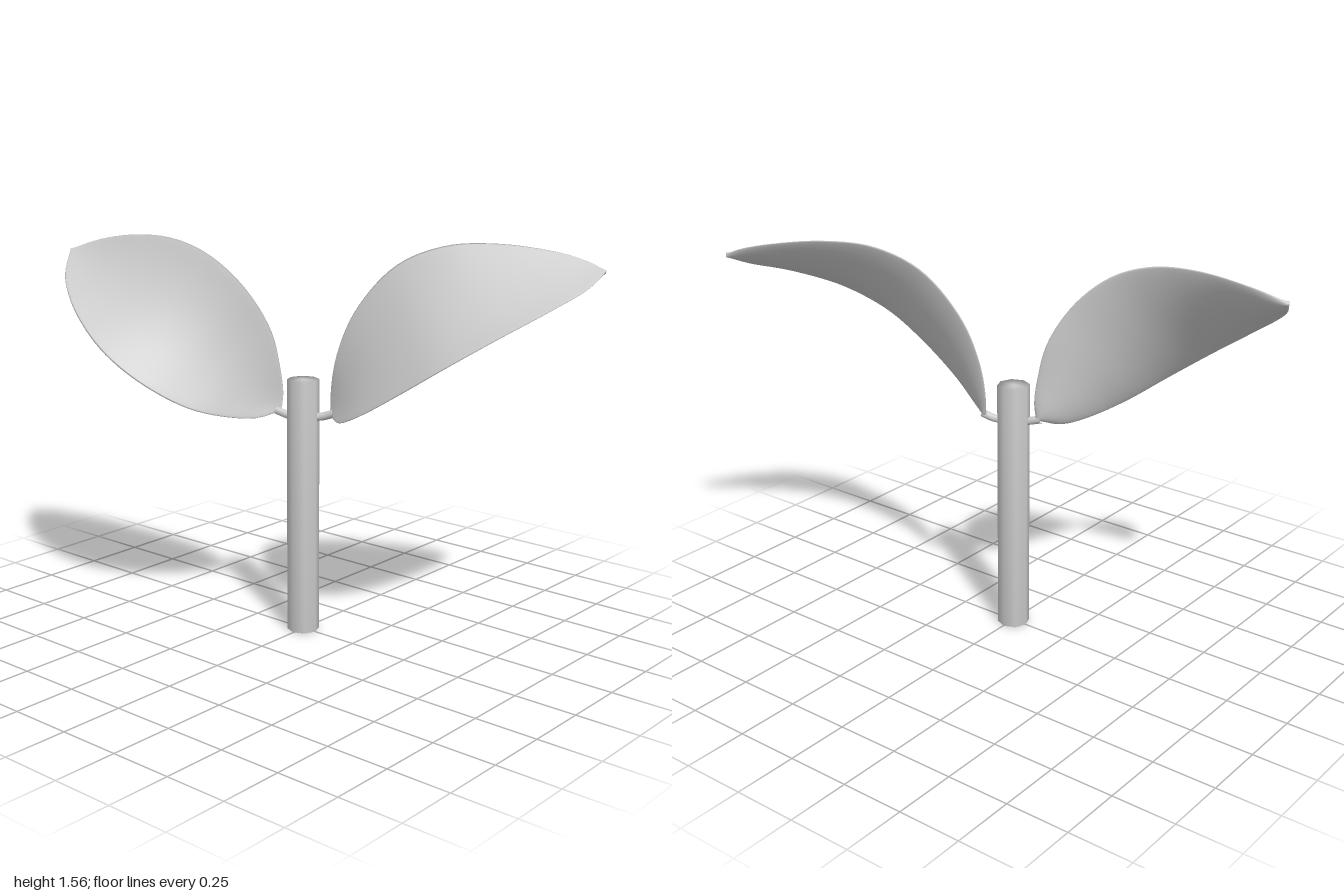
import * as THREE from 'three';

const grey = new THREE.MeshStandardMaterial({ color: 0xcccccc });
grey.name = 'plain grey';

const curve = (pts) => new THREE.CatmullRomCurve3(pts.map((p) => new THREE.Vector3(...p)), false, 'centripetal');

// Closed, cupped blade spanned between two edge curves that share base and tip.
// The cupped face looks along (base to tip) x (edge A to edge B).
function bladeGeometry(edgeA, edgeB, cup = 0.1, thickness = 0.009) {
  const rows = 40, cols = 14, ring = cols * 2;
  const a = curve(edgeA), b = curve(edgeB);
  const mid = (t) => a.getPointAt(t).add(b.getPointAt(t)).multiplyScalar(0.5);
  const positions = [], index = [];
  for (let i = 0; i <= rows; i++) {
    const t = i / rows;
    const s = THREE.MathUtils.clamp(t, 0.04, 0.96);
    const along = mid(s + 0.03).sub(mid(s - 0.03));
    const across = b.getPointAt(s).sub(a.getPointAt(s));
    const normal = along.cross(across).normalize();
    const pa = a.getPointAt(t), pb = b.getPointAt(t);
    const width = pa.distanceTo(pb);
    for (let k = 0; k < ring; k++) {
      // upper side runs A to B, lower side runs back
      const angle = (k / ring) * Math.PI * 2;
      const u = -Math.cos(angle);
      const p = pa.clone().lerp(pb, (u + 1) / 2);
      const lift = -cup * width * (1 - u * u) + Math.sin(angle) * thickness;
      p.addScaledVector(normal, lift);
      positions.push(p.x, p.y, p.z);
    }
  }
  for (let i = 0; i < rows; i++) {
    for (let k = 0; k < ring; k++) {
      const p = i * ring + k, q = i * ring + ((k + 1) % ring);
      index.push(p, p + ring, q, q, p + ring, q + ring);
    }
  }
  // close the small ends
  for (let k = 1; k < ring - 1; k++) {
    const e = rows * ring;
    index.push(0, k, k + 1, e, e + k + 1, e + k);
  }
  const g = new THREE.BufferGeometry();
  g.setAttribute('position', new THREE.Float32BufferAttribute(positions, 3));
  g.setIndex(index);
  g.computeVertexNormals();
  return g;
}

export function createModel() {
  const model = new THREE.Group();
  const add = (name, geometry) => {
    const mesh = new THREE.Mesh(geometry, grey);
    mesh.name = name;
    model.add(mesh);
    return mesh;
  };

  // eight-sided stem with soft shading over its ends
  const profile = [[0, 0], [0.063, 0], [0.063, 1.018], [0, 1.018]].map((p) => new THREE.Vector2(...p));
  add('stem', new THREE.LatheGeometry(profile, 8)).position.x = -0.003;

  // left leaf, leaning back
  const leftUpper = [[0.09, 0.89, -0.06], [0.07, 0.97, -0.08], [0.085, 1.1, -0.09], [0.15, 1.28, -0.12],
    [0.29, 1.46, -0.185], [0.45, 1.54, -0.265], [0.62, 1.555, -0.36], [0.82, 1.53, -0.465],
    [0.93, 1.5, -0.505], [0.995, 1.47, -0.51]];
  const leftLower = [[0.09, 0.89, -0.06], [0.13, 0.88, -0.02], [0.2, 0.882, 0.03], [0.35, 0.945, 0.09],
    [0.55, 1.06, 0.112], [0.71, 1.165, 0.085], [0.85, 1.27, -0.03], [0.95, 1.36, -0.22],
    [0.99, 1.42, -0.4], [0.995, 1.47, -0.51]];
  add('leftLeaf', bladeGeometry(leftLower, leftUpper));

  // right leaf, leaning forward
  const rightUpper = [[-0.09, 0.885, 0.03], [-0.085, 0.95, 0.022], [-0.095, 1.05, 0.027], [-0.13, 1.2, 0.042],
    [-0.22, 1.36, 0.09], [-0.35, 1.475, 0.138], [-0.5, 1.53, 0.172], [-0.67, 1.538, 0.2],
    [-0.88, 1.505, 0.233], [-0.995, 1.46, 0.28]];
  const rightLower = [[-0.09, 0.885, 0.03], [-0.15, 0.86, 0.1], [-0.2, 0.867, 0.18], [-0.29, 0.915, 0.33],
    [-0.42, 1.015, 0.455], [-0.57, 1.125, 0.508], [-0.75, 1.25, 0.48], [-0.9, 1.355, 0.4],
    [-0.965, 1.41, 0.335], [-0.995, 1.46, 0.28]];
  add('rightLeaf', bladeGeometry(rightUpper, rightLower));

  // short stalks joining the leaves to the stem
  const stalks = {
    leftStalk: [[0.03, 0.87, -0.015], [0.07, 0.877, -0.036], [0.11, 0.892, -0.05]],
    rightStalk: [[-0.03, 0.868, 0.018], [-0.065, 0.876, 0.03], [-0.105, 0.888, 0.04]],
  };
  for (const [name, path] of Object.entries(stalks)) {
    add(name, new THREE.TubeGeometry(curve(path), 4, 0.016, 8));
  }
  return model;
}
